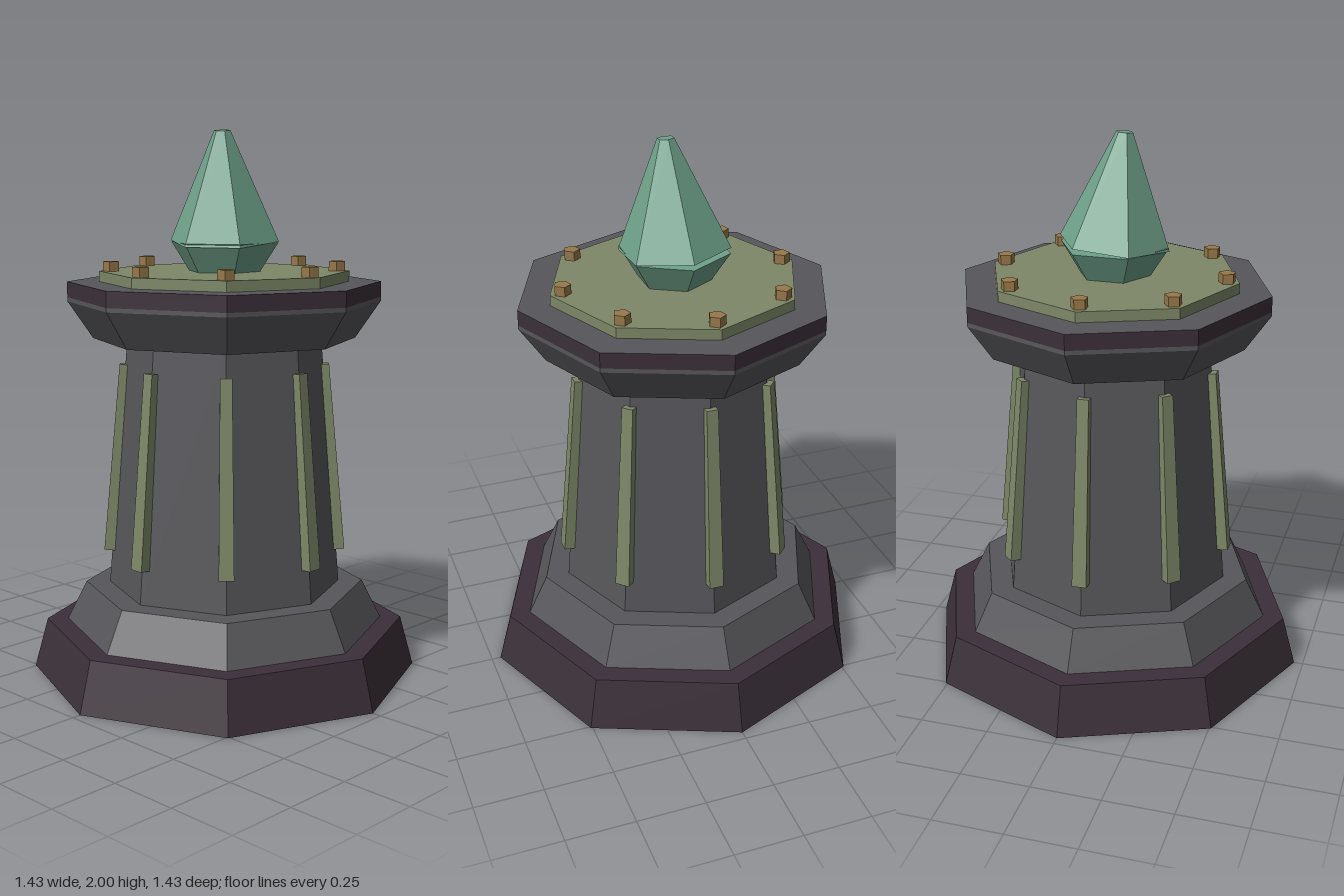
import * as THREE from 'three';

const material = (name, color) => {
  const m = new THREE.MeshStandardMaterial({ color, flatShading: true });
  m.name = name;
  return m;
};

export function createModel() {
  const stone = material('grey stone', 0x57575b);
  const darkStone = material('dark purple stone', 0x3b3039);
  const metal = material('olive metal', 0x7d8767);
  const brass = material('brass', 0x977849);
  const crystal = material('green crystal', 0x6fa28b);

  const model = new THREE.Group();
  model.name = 'crystalPedestal';

  // Tapered prism standing between two heights, with a corner facing +z
  const prism = (name, mat, y0, y1, r0, r1, sides = 8) => {
    const geo = new THREE.CylinderGeometry(r1, r0, y1 - y0, sides);
    geo.translate(0, (y1 - y0) / 2, 0);
    const mesh = new THREE.Mesh(geo, mat);
    mesh.name = name;
    mesh.position.y = y0;
    model.add(mesh);
    return mesh;
  };

  // Stepped octagonal tower, bottom to top
  prism('base', darkStone, 0, 0.185, 0.717, 0.667);
  prism('plinth', stone, 0.185, 0.33, 0.59, 0.518);
  prism('column', stone, 0.33, 1.255, 0.43, 0.355);
  prism('capital', stone, 1.25, 1.385, 0.48, 0.572);
  prism('capitalLip', stone, 1.385, 1.4, 0.572, 0.572);
  // Dark band with a grey top face (groups: side, top, bottom)
  prism('capitalBand', [darkStone, stone, darkStone], 1.4, 1.457, 0.572, 0.572);
  prism('topPlate', metal, 1.457, 1.495, 0.455, 0.455);

  // Ribs leaning along the column corners, and bolts on the plate
  const ribGeo = new THREE.CylinderGeometry(0.042 / Math.SQRT2, 0.054 / Math.SQRT2, 0.7, 4);
  ribGeo.rotateY(Math.PI / 4);
  ribGeo.rotateX(-0.084);
  ribGeo.translate(0, 0.805, 0.392);
  for (let i = 0; i < 8; i++) {
    const a = (i * Math.PI) / 4;
    const rib = new THREE.Mesh(ribGeo, metal);
    rib.name = 'rib';
    rib.rotation.y = a;
    model.add(rib);

    const bolt = prism('bolt', brass, 1.49, 1.53, 0.031, 0.031, 5);
    bolt.position.x = Math.sin(a) * 0.41;
    bolt.position.z = Math.cos(a) * 0.41;
    bolt.rotation.y = Math.PI;
  }

  // Crystal: faceted cup and a slightly leaning point
  prism('crystalCup', crystal, 1.49, 1.6, 0.13, 0.2, 6);
  const point = prism('crystalPoint', crystal, 1.604, 1.998, 0.202, 0.03, 6);
  point.rotation.set(0.08, 0, -0.05);

  return model;
}
